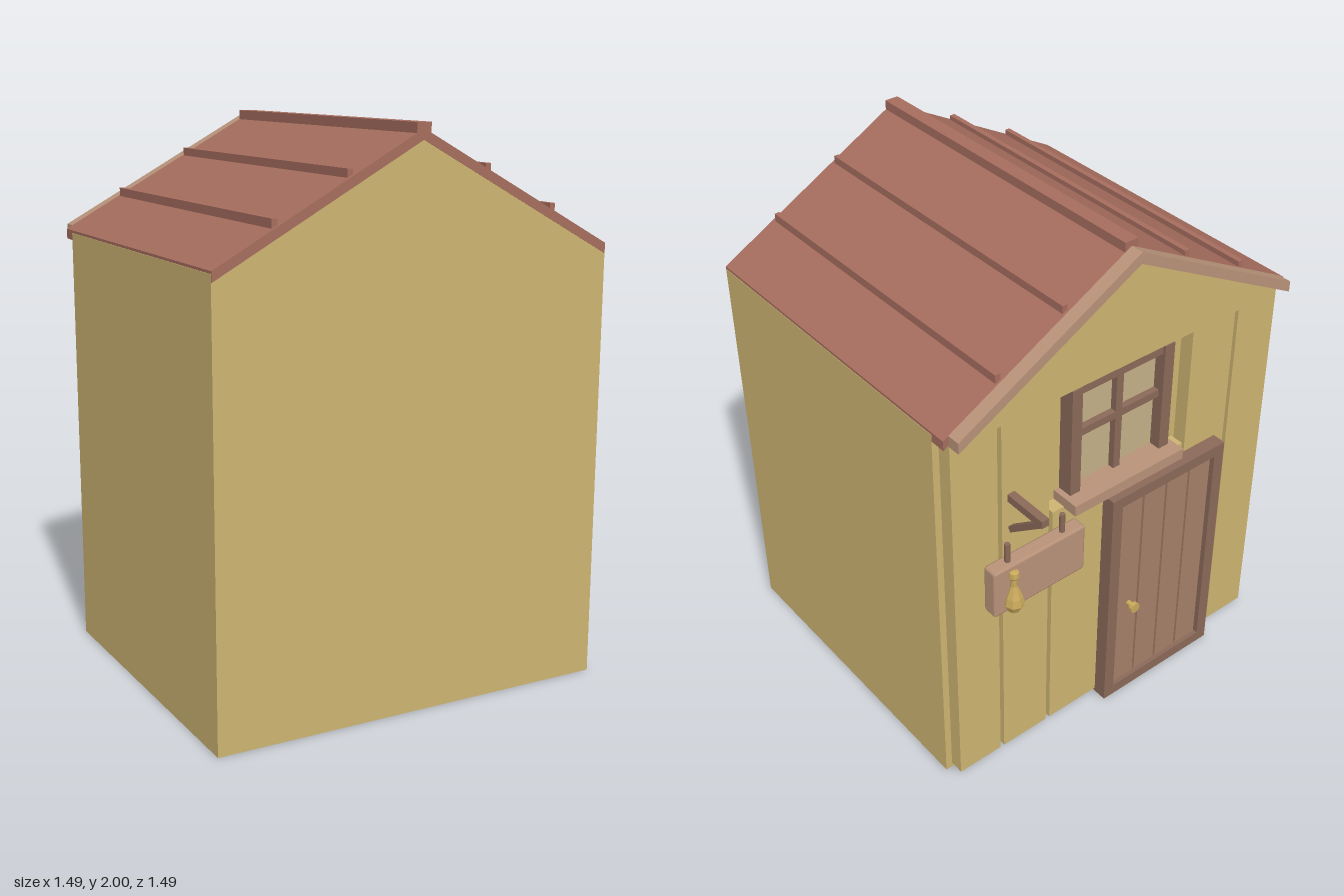
import * as THREE from 'three';
import { RoundedBoxGeometry } from 'three/addons/geometries/RoundedBoxGeometry.js';

const mat = (name, color) => {
  const m = new THREE.MeshStandardMaterial({ color });
  m.name = name;
  return m;
};

export function createModel() {
  const wall = mat('yellow wall', 0xcdb472);
  const roof = mat('red roof', 0xa66d5e);
  const darkWood = mat('dark wood', 0x8b6a59);
  const midWood = mat('door wood', 0xa58068);
  const lightWood = mat('light wood', 0xb9937a);
  const glass = mat('window glass', 0xc4b187);
  const brass = mat('brass', 0xc9a95c);

  const root = new THREE.Group();
  root.name = 'shed';

  const add = (parent, name, geometry, material) => {
    const mesh = new THREE.Mesh(geometry, material);
    mesh.name = name;
    parent.add(mesh);
    return mesh;
  };
  // Box given by its lower and upper corner on each axis
  const box = (parent, name, material, [x0, x1], [y0, y1], [z0, z1], round = 0) => {
    const w = x1 - x0, h = y1 - y0, d = z1 - z0;
    const g = round ? new RoundedBoxGeometry(w, h, d, 1, round) : new THREE.BoxGeometry(w, h, d);
    const m = add(parent, name, g, material);
    m.position.set((x0 + x1) / 2, (y0 + y1) / 2, (z0 + z1) / 2);
    return m;
  };
  // Outline in x and y, extruded from z0 to z1
  const prism = (name, material, pts, z0, z1) => {
    const shape = new THREE.Shape(pts.map(([x, y]) => new THREE.Vector2(x, y)));
    const g = new THREE.ExtrudeGeometry(shape, { depth: z1 - z0, bevelEnabled: false });
    g.translate(0, 0, z0);
    return add(root, name, g, material);
  };
  const chevron = (x, eave, apex, t) =>
    [[-x, eave - t], [0, apex - t], [x, eave - t], [x, eave], [0, apex], [-x, eave]];

  // Walls and the gable above the door side
  prism('house', wall, [[-0.746, 0], [0.746, 0], [0.746, 1.565], [0, 1.965], [-0.746, 1.565]], -0.49, 0.743);
  prism('gable', wall, [[-0.72, 1.52], [0.72, 1.52], [0.72, 1.565], [0, 1.955], [-0.72, 1.565]], -0.545, -0.49);

  // Roof with ribs and ridge cap
  prism('roof', roof, chevron(0.745, 1.575, 1.98, 0.036), -0.55, 0.745);
  box(root, 'ridgeCap', roof, [-0.027, 0.027], [1.965, 2], [-0.55, 0.745]);
  for (const s of [-1, 1]) {
    for (const [x, top] of [[0.26, 1.862], [0.525, 1.72]]) {
      box(root, 'roofRib', roof, [s * x - 0.01, s * x + 0.01], [top - 0.05, top], [-0.54, 0.73]);
    }
  }
  prism('bargeboard', lightWood, chevron(0.725, 1.588, 1.98, 0.042), -0.6, -0.55);

  // Vertical planks, with an opening for the window
  const planks = new THREE.Group();
  planks.name = 'planks';
  root.add(planks);
  for (const s of [-1, 1]) {
    for (const [a, b] of [[0.535, 0.72], [0.317, 0.518]]) {
      box(planks, 'plank', wall, [Math.min(s * a, s * b), Math.max(s * a, s * b)], [0.02, 1.52], [-0.545, -0.49]);
    }
  }
  box(planks, 'lowPlank', wall, [-0.305, 0.3], [0.02, 1.045], [-0.545, -0.49]);

  // Window: glass, frame, cross bars and sill
  const win = new THREE.Group();
  win.name = 'window';
  root.add(win);
  box(win, 'glass', glass, [-0.2, 0.2], [1.06, 1.52], [-0.505, -0.49]);
  for (const s of [-1, 1]) {
    box(win, 'jamb', darkWood, [s * 0.205 - 0.022, s * 0.205 + 0.022], [1.06, 1.52], [-0.55, -0.49]);
  }
  box(win, 'topRail', darkWood, [-0.2, 0.2], [1.485, 1.52], [-0.54, -0.49]);
  box(win, 'uprightBar', darkWood, [-0.015, 0.015], [1.06, 1.5], [-0.53, -0.49]);
  box(win, 'crossBar', darkWood, [-0.2, 0.2], [1.3, 1.33], [-0.53, -0.49]);
  box(win, 'sill', lightWood, [-0.25, 0.25], [1.04, 1.083], [-0.605, -0.49]);

  // Door: frame, four boards over a dark backing, knob
  const door = new THREE.Group();
  door.name = 'door';
  root.add(door);
  box(door, 'doorBacking', darkWood, [-0.46, 0.06], [0.01, 0.99], [-0.565, -0.54]);
  for (const x of [-0.447, 0.047]) {
    box(door, 'doorJamb', darkWood, [x - 0.023, x + 0.023], [0.005, 1], [-0.6, -0.54]);
  }
  for (const y of [0.027, 0.977]) {
    box(door, 'doorRail', darkWood, [-0.424, 0.024], [y - 0.022, y + 0.023], [-0.6, -0.54]);
  }
  for (let i = 0; i < 4; i++) {
    const x = -0.42 + i * 0.111;
    box(door, 'doorBoard', midWood, [x, x + 0.101], [0.05, 0.954], [-0.583, -0.56]);
  }
  const stem = add(door, 'knobStem', new THREE.CylinderGeometry(0.011, 0.011, 0.04, 8), brass);
  stem.rotation.x = Math.PI / 2;
  stem.position.set(-0.045, 0.44, -0.595);
  const knob = add(door, 'knob', new THREE.CylinderGeometry(0.021, 0.021, 0.016, 10), brass);
  knob.rotation.x = Math.PI / 2;
  knob.position.set(-0.045, 0.44, -0.617);

  // Hanging sign with bracket, rods and a bottle in relief
  const sign = new THREE.Group();
  sign.name = 'sign';
  root.add(sign);
  box(sign, 'bracketArm', darkWood, [0.465, 0.495], [1.2, 1.23], [-0.72, -0.54]);
  const brace = add(sign, 'brace', new THREE.BoxGeometry(0.022, 0.022, 0.2), darkWood);
  brace.position.set(0.48, 1.14, -0.625);
  brace.rotation.x = Math.atan2(0.12, 0.15);
  box(sign, 'signBoard', lightWood, [0.29, 0.675], [0.9, 1.092], [-0.703, -0.645], 0.01);
  for (const x of [0.37, 0.6]) {
    const rod = add(sign, 'rod', new THREE.CylinderGeometry(0.01, 0.01, 0.09, 8), darkWood);
    rod.position.set(x, 1.122, -0.675);
  }
  const profile = [[0, 0.9], [0.022, 0.905], [0.036, 0.935], [0.03, 0.965], [0.012, 1.01],
    [0.011, 1.04], [0.019, 1.05], [0.017, 1.07], [0, 1.075]].map(([r, y]) => new THREE.Vector2(r, y));
  const brassFlat = brass;
  brassFlat.flatShading = true;
  const bottle = add(sign, 'bottle', new THREE.LatheGeometry(profile, 8), brassFlat);
  bottle.position.set(0.6, 0, -0.709);

  return root;
}
